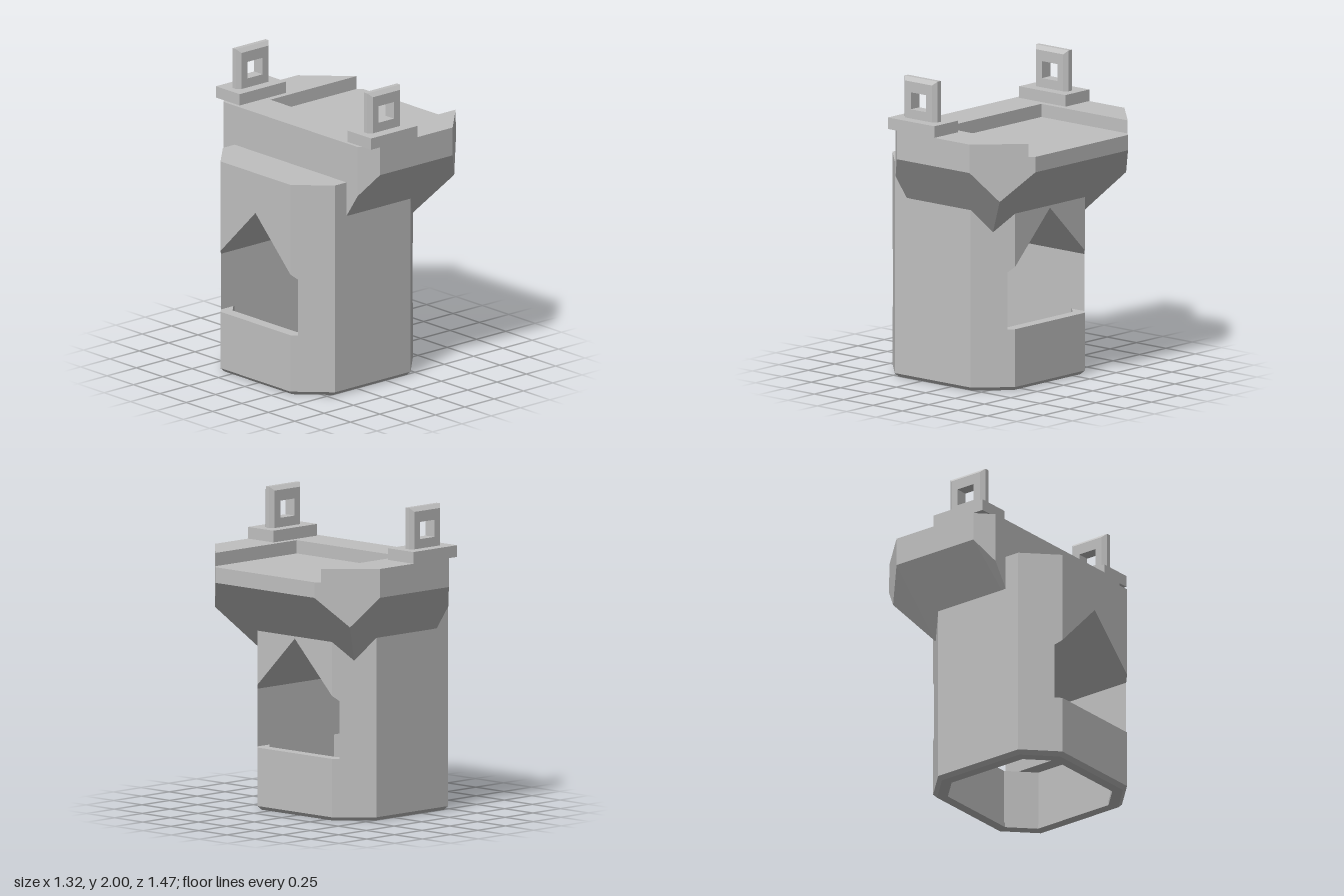
import * as THREE from 'three';
import { ConvexGeometry } from 'three/addons/geometries/ConvexGeometry.js';

const V = (x, y, z) => new THREE.Vector3(x, y, z);

// Closed band of quads: joins each loop to the next, and the last to the first
function loftRing(loops) {
  const pos = [];
  loops.forEach((a, i) => {
    const b = loops[(i + 1) % loops.length];
    a.forEach((p, j) => {
      const k = (j + 1) % a.length;
      for (const q of [p, a[k], b[k], p, b[k], b[j]]) pos.push(q.x, q.y, q.z);
    });
  });
  const g = new THREE.BufferGeometry();
  g.setAttribute('position', new THREE.Float32BufferAttribute(pos, 3));
  g.computeVertexNormals();
  return g;
}

// Octagonal plan of the body, moved inward by inset
const CX = -0.1375, A = 0.5225, B = 0.53, S = 0.853;
function octagon(y, inset) {
  const a = A - inset, b = B - inset, s = S - inset * Math.SQRT2;
  return [[a, s - a], [a, a - s], [s - b, -b], [b - s, -b],
    [-a, a - s], [-a, s - a], [b - s, b], [s - b, b]].map(([x, z]) => V(CX + x, y, z));
}

export function createModel() {
  const model = new THREE.Group();
  const grey = new THREE.MeshStandardMaterial({ color: 0xc0c0c0 });
  grey.name = 'plain grey';
  grey.flatShading = true;

  function add(name, geometry, parent = model) {
    const mesh = new THREE.Mesh(geometry, grey);
    mesh.name = name;
    parent.add(mesh);
    return mesh;
  }

  // Hollow base with a bevelled foot and a small inner lip
  add('base', loftRing([
    octagon(0, 0.025), octagon(0.025, 0), octagon(0.4, 0),
    octagon(0.4, 0.075), octagon(0.03, 0.075), octagon(0.03, 0.09), octagon(0, 0.09),
  ]));

  for (const s of [1, -1]) {
    const side = new THREE.Group();
    side.name = s > 0 ? 'frontHalf' : 'backHalf';
    model.add(side);
    // Points mirrored in x about the body's middle
    const pair = (x, y, z) => [V(CX + x, y, z * s), V(CX - x, y, z * s)];

    // Pillar beside the opening
    const W = 0.365;
    add('pillar', new ConvexGeometry([0.4, 0.77].flatMap((y) => [
      ...pair(S - W, y, W), ...pair(S - B, y, B),
    ])), side);

    // Upper body with the sloping roof of the opening
    add('upperBody', new ConvexGeometry([
      ...pair(S - W, 0.77, W), ...pair(S - B, 0.77, B),
      ...pair(A, 1.135 - (S - A), S - A), ...pair(A, 1.135, 0),
      ...pair(A, 1.4, 0), ...pair(A, 1.4, S - A), ...pair(S - B, 1.4, B),
    ]), side);

    // Overhanging head: two sloping undersides and upright corner bevels
    const Y = 1.575;
    add('head', new ConvexGeometry([
      [-0.36, 1.15, 0], [0.385, 1.15, 0], [-0.36, 1.03, 0.43], [0.285, 1.03, 0.43],
      [0.655, 1.475, 0], [0.655, 1.475, 0.44], [0.495, 1.285, 0.6],
      [0.36, 1.475, 0.735], [-0.26, 1.475, 0.735], [-0.36, 1.333, 0.635],
      [-0.36, Y, 0], [-0.36, Y, 0.635], [-0.26, Y, 0.735],
      [0.36, Y, 0.735], [0.655, Y, 0.44], [0.655, Y, 0],
    ].map(([x, y, z]) => V(x, y, z * s))), side);

    // Pedestal
    add('pedestal', new THREE.BoxGeometry(0.395, 0.075, 0.225), side)
      .position.set(-0.1375, 1.6975, 0.6225 * s);

    // Square eyelet with bevelled outer edges
    const rect = (x0, x1, y0, y1, z) => [V(x1, y1, z), V(x1, y0, z), V(x0, y0, z), V(x0, y1, z)];
    const hole = (z) => rect(-0.205, -0.075, 1.795, 1.905, z);
    const inner = (z) => rect(-0.255, -0.025, 1.735, 1.975, z);
    const outer = (z) => rect(-0.28, 0, 1.735, 2, z);
    add('eyelet', loftRing([
      hole(0.04), inner(0.04), outer(0.015), outer(-0.015), inner(-0.04), hole(-0.04),
    ]), side).position.z = 0.622 * s;
  }

  // Raised rim round three sides of the recessed top
  const half = [[-0.36, 0.635], [-0.26, 0.735], [0.36, 0.735], [0.625, 0.47], [-0.11, 0.47]];
  const outline = [...half, ...half.map(([x, z]) => [x, -z]).reverse()];
  const rim = new THREE.ExtrudeGeometry(
    new THREE.Shape(outline.map(([x, z]) => new THREE.Vector2(x, z))),
    { depth: 0.085, bevelEnabled: false });
  rim.rotateX(-Math.PI / 2);
  add('topRim', rim).position.y = 1.575;

  return model;
}
